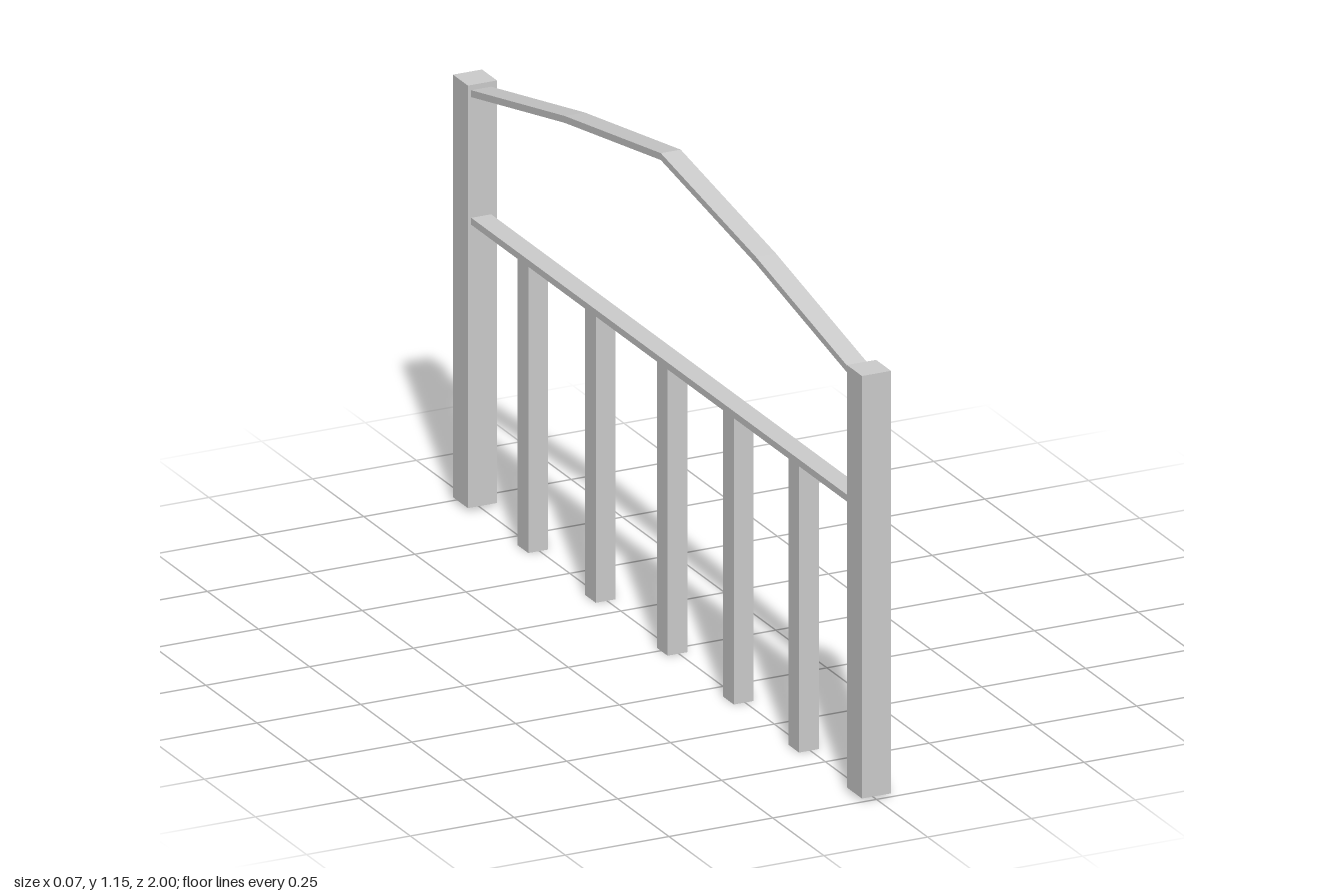
import * as THREE from 'three';

const material = new THREE.MeshStandardMaterial({ color: 0xcccccc, flatShading: true });
const POST_W = 0.07, POST_D = 0.073;      // end posts
const BAR_W = 0.048, BAR_X = -0.003;      // rails and balusters
const SPAN = 1 - POST_D;                  // inner face of the end posts

// Box placed by its base height
function box(name, [w, h, d], [x, y, z]) {
  const mesh = new THREE.Mesh(new THREE.BoxGeometry(w, h, d), material);
  mesh.position.set(x, y + h / 2, z);
  mesh.name = name;
  return mesh;
}

export function createModel() {
  const model = new THREE.Group();
  model.name = 'railing';

  // End posts
  for (const s of [1, -1]) {
    model.add(box(s > 0 ? 'frontPost' : 'backPost',
      [POST_W, 0.98, POST_D], [0, 0.008, s * (1 - POST_D / 2)]));
  }

  // Straight middle rail
  model.add(box('middleRail', [BAR_W, 0.016, SPAN * 2], [BAR_X, 0.664, 0]));

  // Balusters, slightly uneven in spacing
  [0.65, 0.331, 0.007, -0.344, -0.674].forEach((z, i) => {
    model.add(box(`baluster${i + 1}`, [BAR_W, 0.664, 0.052], [BAR_X, 0, z]));
  });

  // Arched top rail: a bent strip in the z-y plane, extruded across x
  const top = [[-SPAN, 0.976], [-0.47, 1.076], [0, 1.154], [0.465, 1.076], [SPAN, 0.976]];
  const bottom = top.map(([z, y]) => [z, y - 0.016]).reverse();
  const shape = new THREE.Shape([...top, ...bottom].map(([z, y]) => new THREE.Vector2(z, y)));
  const arch = new THREE.ExtrudeGeometry(shape, { depth: BAR_W, bevelEnabled: false });
  arch.translate(0, 0, -BAR_W / 2).rotateY(-Math.PI / 2);
  const archRail = new THREE.Mesh(arch, material);
  archRail.position.x = BAR_X;
  archRail.name = 'archedTopRail';
  model.add(archRail);

  return model;
}
